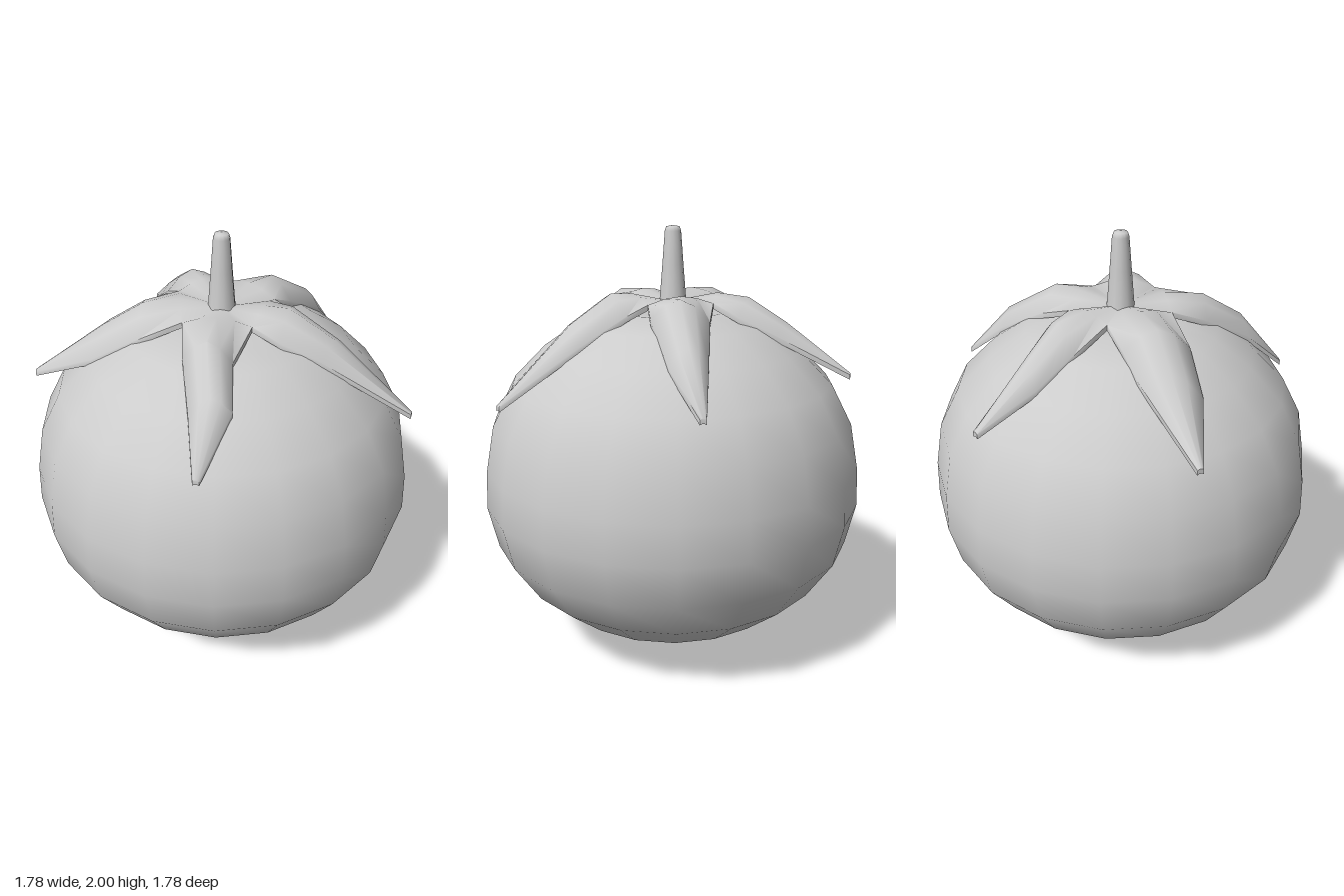
import * as THREE from 'three';
import { mergeGeometries, mergeVertices, toCreasedNormals } from 'three/addons/utils/BufferGeometryUtils.js';

const material = new THREE.MeshStandardMaterial({ color: 0xcccccc });

function lathe(name, profile, sides, start = 0) {
  const points = profile.map(([r, y]) => new THREE.Vector2(r, y));
  const mesh = new THREE.Mesh(new THREE.LatheGeometry(points, sides, start), material);
  mesh.name = name;
  return mesh;
}

// Notches where neighbouring leaves meet, [x, z], clockwise from above
const NOTCHES = [[-0.18, -0.16], [0.11, -0.21], [0.24, 0.04], [0.02, 0.24], [-0.23, 0.06]];

// Each leaf: two outline points on the side facing the next leaf, two on the
// side facing the previous one, and the tip [x, y, z]
const LEAVES = [
  { next: [[0.10, -0.32], [0.03, -0.59]], prev: [[-0.155, -0.32], [-0.135, -0.56]], tip: [-0.10, 1.31, -0.785] },
  { next: [[0.35, -0.02], [0.48, -0.14]], prev: [[0.20, -0.255], [0.41, -0.355]], tip: [0.745, 1.28, -0.455] },
  { next: [[0.16, 0.35], [0.35, 0.475]], prev: [[0.32, 0.215], [0.465, 0.34]], tip: [0.525, 1.30, 0.58] },
  { next: [[-0.31, 0.18], [-0.39, 0.29]], prev: [[-0.10, 0.385], [-0.27, 0.53]], tip: [-0.555, 1.335, 0.655] },
  { next: [[-0.29, -0.21], [-0.46, -0.215]], prev: [[-0.40, 0.0], [-0.57, -0.08]], tip: [-0.795, 1.36, -0.23] },
];

// Height of a leaf edge at a distance from the stem
function edgeHeight(r) {
  const steps = [[0.24, 1.67], [0.38, 1.60], [0.5, 1.535], [0.6, 1.465], [0.8, 1.32]];
  if (r <= steps[0][0]) return steps[0][1];
  for (let i = 1; i < steps.length; i++) {
    const [r0, y0] = steps[i - 1], [r1, y1] = steps[i];
    if (r <= r1) return THREE.MathUtils.lerp(y0, y1, (r - r0) / (r1 - r0));
  }
  return 1.32;
}

const onEdge = ([x, z]) => new THREE.Vector3(x, edgeHeight(Math.hypot(x, z)), z);

// An arched leaf with thickness, swept outward from the stem
function leafGeometry({ next, prev, tip }, i) {
  const centre = new THREE.Vector3(0, 1.66, 0);
  const end = new THREE.Vector3(...tip);
  const side = new THREE.Vector3(-end.z, 0, end.x).setLength(0.014);
  const rows = [
    [centre, centre, 0, 0.025],
    [onEdge(NOTCHES[(i + 1) % 5]), onEdge(NOTCHES[i]), 0.035, 0.025],
    [onEdge(next[0]), onEdge(prev[0]), 0.09, 0.025],
    [onEdge(next[1]), onEdge(prev[1]), 0.075, 0.025],
    [end.clone().add(side), end.clone().sub(side), 0.006, 0.022],
  ];
  const positions = [], index = [], N = 10;
  for (const [a, b, bulge, thickness] of rows) {
    for (let k = 0; k < N; k++) {
      const t = (k < 5 ? k : 9 - k) / 4;
      const p = a.clone().lerp(b, t);
      p.y += bulge * Math.sin(Math.PI * t) - (k < 5 ? 0 : thickness);
      positions.push(p.x, p.y, p.z);
    }
  }
  for (let r = 0; r < rows.length - 1; r++) {
    for (let k = 0; k < N; k++) {
      if (r === 0 && k % 5 === 4) continue; // no walls between joined leaves
      const a = r * N + k, d = r * N + (k + 1) % N;
      index.push(a, a + N, d + N);
      if (r > 0) index.push(a, d + N, d);
    }
  }
  const last = (rows.length - 1) * N;
  for (let k = 1; k < N - 1; k++) index.push(last, last + k + 1, last + k);
  const geometry = new THREE.BufferGeometry();
  geometry.setAttribute('position', new THREE.Float32BufferAttribute(positions, 3));
  geometry.setIndex(index);
  return geometry;
}

export function createModel() {
  const group = new THREE.Group();
  group.name = 'tomato';

  // Fruit, with a shallow dip under the leaves
  group.add(lathe('fruit', [
    [0, 0.003], [0.2, 0.03], [0.37, 0.095], [0.55, 0.2], [0.73, 0.35], [0.85, 0.53], [0.895, 0.73],
    [0.885, 0.91], [0.845, 1.12], [0.75, 1.3], [0.6, 1.45], [0.43, 1.565], [0.25, 1.618], [0.1, 1.6], [0, 1.58],
  ], 19, Math.PI));

  // Star of five leaves
  const star = mergeVertices(mergeGeometries(LEAVES.map(leafGeometry)));
  const leaves = new THREE.Mesh(toCreasedNormals(star, 0.95), material);
  leaves.name = 'leaves';
  group.add(leaves);

  // Tapered stem with a rounded end
  const stem = lathe('stem', [
    [0.07, 1.63], [0.06, 1.68], [0.048, 1.83], [0.037, 1.975], [0.03, 1.995], [0, 2.0],
  ], 12);
  stem.position.x = -0.005;
  group.add(stem);

  return group;
}
